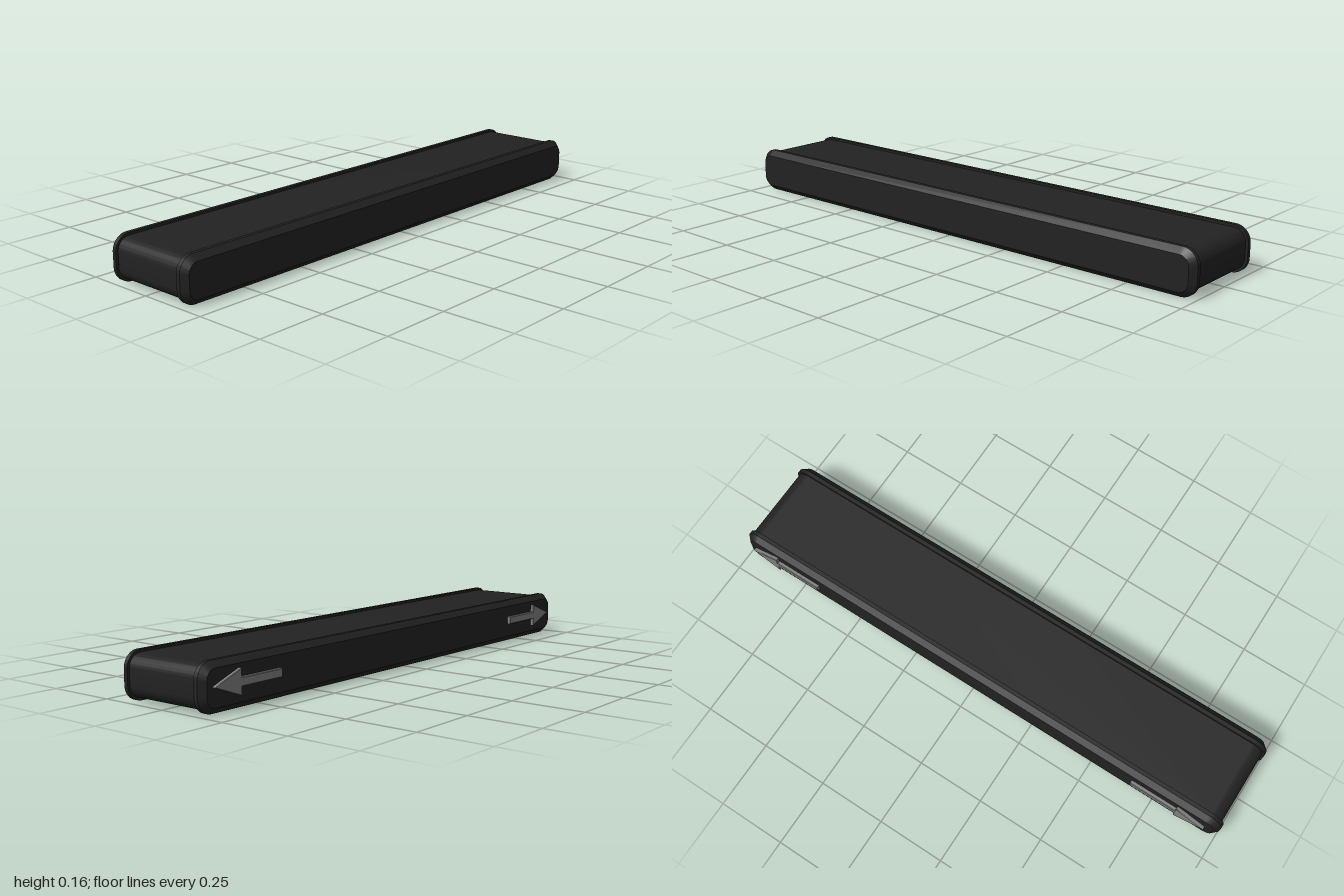
import * as THREE from 'three';
import { toCreasedNormals } from 'three/addons/utils/BufferGeometryUtils.js';

const HEIGHT = 0.16, LENGTH = 2, RADIUS = 0.055, MID = HEIGHT / 2;

// Rounded rectangle (length by height), pulled in by an inset
function roundedRect(inset) {
  const w = LENGTH / 2 - inset, h = HEIGHT / 2 - inset, r = RADIUS - inset;
  const s = new THREE.Shape();
  s.absarc(w - r, h - r, r, 0, Math.PI / 2);
  s.absarc(-w + r, h - r, r, Math.PI / 2, Math.PI);
  s.absarc(-w + r, -h + r, r, Math.PI, Math.PI * 1.5);
  s.absarc(w - r, -h + r, r, Math.PI * 1.5, Math.PI * 2);
  s.closePath();
  return s;
}

// Side rail: straight rim, then a chamfer up to a flat outer face (faces +z)
function railGeometry() {
  const levels = [[0, 0], [0.015, 0], [0.035, 0.02]];
  const rings = levels.map(([z, inset]) => {
    const pts = roundedRect(inset).getPoints(10);
    return pts.map(p => [p.x, p.y, z]);
  });
  const n = rings[0].length;
  rings.unshift(Array(n).fill([0, 0, 0]));
  rings.push(Array(n).fill([0, 0, 0.035]));
  const pos = [], index = [];
  rings.forEach(ring => ring.forEach(p => pos.push(...p)));
  for (let k = 0; k < rings.length - 1; k++) {
    for (let i = 0; i < n; i++) {
      const j = (i + 1) % n;
      const a = k * n + i, b = k * n + j, c = a + n, d = b + n;
      if (k > 0) index.push(a, b, d);
      if (k < rings.length - 2) index.push(a, d, c);
      if (k === 0) index.splice(-3, 3, a, d, c);
    }
  }
  const g = new THREE.BufferGeometry();
  g.setAttribute('position', new THREE.Float32BufferAttribute(pos, 3));
  g.setIndex(index);
  return toCreasedNormals(g, 0.5);
}

// Flat arrow pointing along +x
function arrowGeometry() {
  const s = new THREE.Shape();
  const b = 0.002, tip = 0.145 - b, neck = 0.035, head = 0.042 - b, shaft = 0.014 - b;
  s.moveTo(tip, 0);
  s.lineTo(neck, head);
  s.lineTo(neck, shaft);
  s.lineTo(-0.145 + b, shaft);
  s.lineTo(-0.145 + b, -shaft);
  s.lineTo(neck, -shaft);
  s.lineTo(neck, -head);
  s.closePath();
  return new THREE.ExtrudeGeometry(s, {
    depth: 0.012, bevelEnabled: true, bevelThickness: b, bevelSize: b, bevelSegments: 1,
  });
}

export function createModel() {
  const model = new THREE.Group();
  const dark = new THREE.MeshStandardMaterial({ color: 0x222222 });
  const grey = new THREE.MeshStandardMaterial({ color: 0x808080 });

  const add = (name, geometry, material, x, z, turn) => {
    const mesh = new THREE.Mesh(geometry, material);
    mesh.name = name;
    mesh.position.set(x, MID, z);
    mesh.rotation.y = turn;
    model.add(mesh);
    return mesh;
  };

  // Main body between the rails
  const body = toCreasedNormals(new THREE.ExtrudeGeometry(roundedRect(0.009), {
    depth: 0.287, bevelEnabled: false, curveSegments: 10,
  }), 0.5);
  add('body', body, dark, -0.137, 0, Math.PI / 2);

  // Chamfered side rails
  const rail = railGeometry();
  add('leftRail', rail, dark, 0.15, 0, Math.PI / 2);
  add('rightRail', rail, dark, -0.137, 0, -Math.PI / 2);

  // Raised arrows near both ends of the right side, pointing outward
  const arrow = arrowGeometry();
  add('frontArrow', arrow, grey, -0.171, 0.805, -Math.PI / 2).position.y = 0.085;
  const back = add('backArrow', arrow, grey, -0.171, -0.815, -Math.PI / 2);
  back.position.y = 0.085;
  back.rotation.set(0, -Math.PI / 2, Math.PI);

  return model;
}
